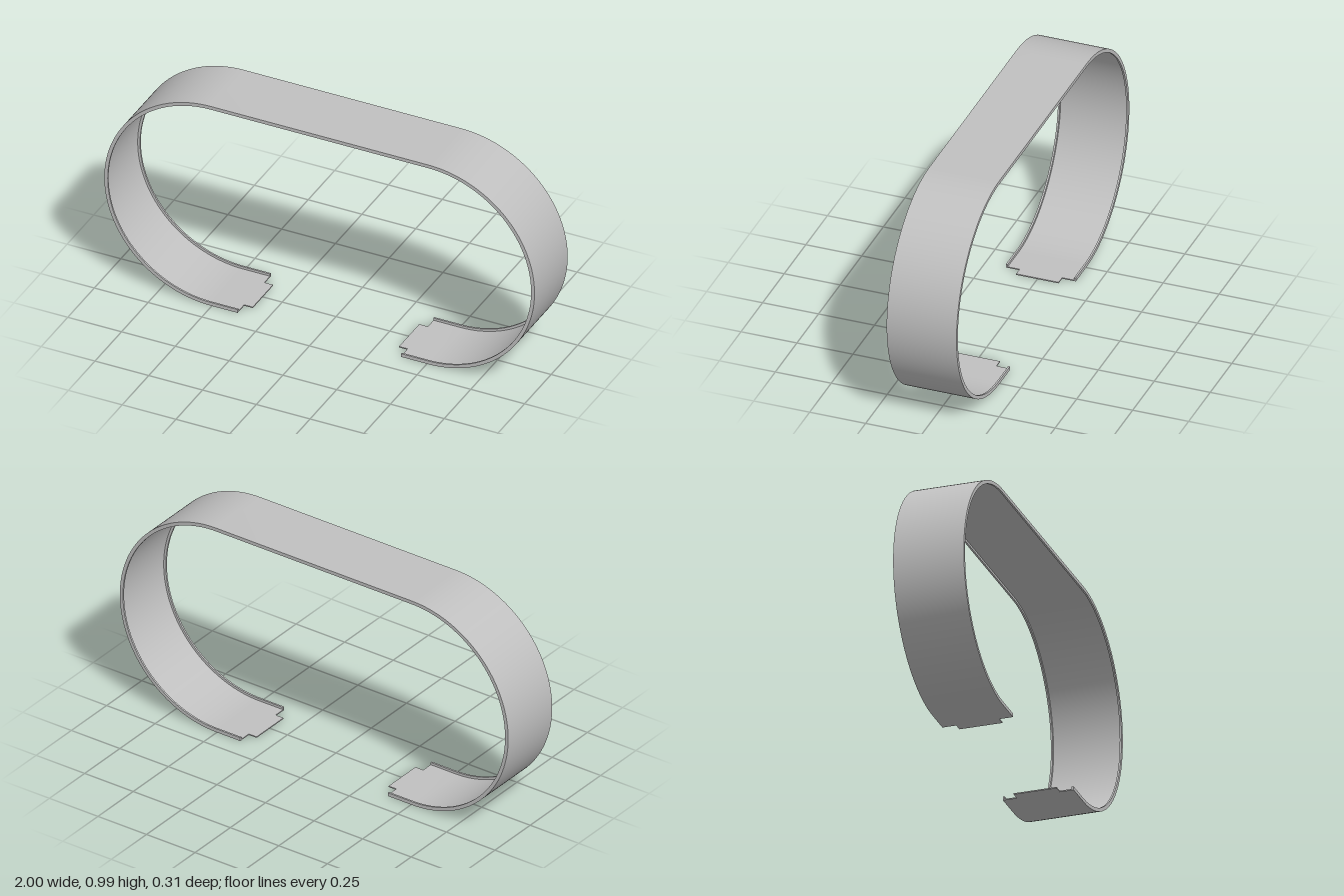
import * as THREE from 'three';
import { toCreasedNormals } from 'three/addons/utils/BufferGeometryUtils.js';

const R = 0.495;       // outer radius of the round ends
const CX = 0.505;      // centre of each round end
const END = 0.38;      // where the rail stops, either side of the gap
const HALF = 0.156;    // half the rail width
const LIP = 0.008;     // thickness of the edge flanges
const WEB = 0.005;     // thickness of the band
const DEPTH = 0.016;   // height of the flanges

// Open stadium outline of a given thickness, extruded from z0 to z1
function band(thickness, z0, z1) {
  const r = R - thickness, q = Math.PI / 2;
  const s = new THREE.Shape();
  s.moveTo(END, 0);
  s.lineTo(CX, 0);
  s.absarc(CX, R, R, -q, q, false);
  s.absarc(-CX, R, R, q, 3 * q, false);
  s.lineTo(-END, 0);
  s.lineTo(-END, thickness);
  s.absarc(-CX, R, r, 3 * q, q, true);
  s.absarc(CX, R, r, q, -q, true);
  s.lineTo(END, thickness);
  const geo = new THREE.ExtrudeGeometry(s, { depth: z1 - z0, bevelEnabled: false, curveSegments: 48 });
  geo.translate(0, 0, z0);
  return toCreasedNormals(geo, 0.5);
}

export function createModel() {
  const group = new THREE.Group();
  const metal = new THREE.MeshStandardMaterial({ color: 0xc0c0c0 });
  metal.name = 'grey metal';

  const add = (name, geo) => {
    const mesh = new THREE.Mesh(geo, metal);
    mesh.name = name;
    group.add(mesh);
    return mesh;
  };

  // Thin band between two raised edge flanges
  add('web', band(WEB, -HALF + LIP, HALF - LIP));
  add('frontFlange', band(DEPTH, HALF - LIP, HALF));
  add('backFlange', band(DEPTH, -HALF, -HALF + LIP));

  // Narrow tongue at each open end
  for (const side of [-1, 1]) {
    const tab = add(side > 0 ? 'leftTab' : 'rightTab', new THREE.BoxGeometry(0.04, WEB, 0.19));
    tab.position.set(side * (END - 0.02), WEB / 2, 0);
  }
  return group;
}
